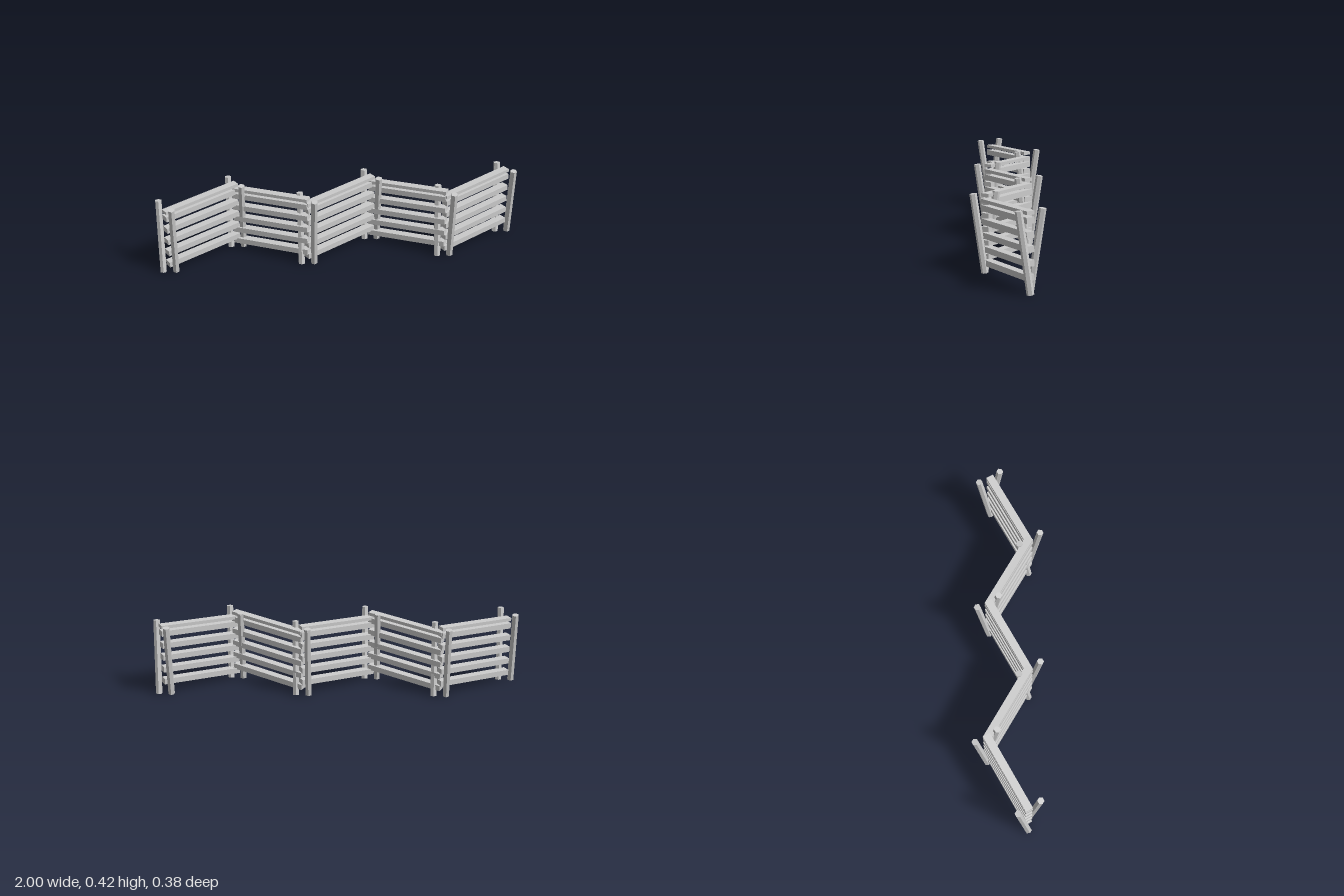
import * as THREE from 'three';

const deg = THREE.MathUtils.degToRad;

export function createModel() {
  const group = new THREE.Group();
  group.name = 'zigzagFence';
  const wood = new THREE.MeshStandardMaterial({ color: 0xcccccc, flatShading: true });
  wood.name = 'weathered grey wood';

  const spacing = 0.3796;   // distance between joints along x
  const lean = deg(8);      // lean of the posts
  const postLength = 0.418;

  // Hexagonal posts: at every joint a crossed pair, left leaning back, right leaning forward
  const postGeo = new THREE.CylinderGeometry(0.019, 0.019, postLength, 6);
  for (let i = 0; i < 6; i++) {
    const x = (i - 2.5) * spacing;
    const footZ = (i % 2 ? -1 : 1) * 0.1135;
    for (const side of [-1, 1]) {
      const post = new THREE.Mesh(postGeo, wood);
      post.name = side < 0 ? 'backLeaningPost' : 'frontLeaningPost';
      post.position.set(x + side * 0.0345, 0.2095, footZ + side * Math.sin(lean) * postLength / 2);
      post.rotation.x = side * lean;
      group.add(post);
    }
  }

  // Panels: five sloping rails and a thinner top rail, turned alternately
  const railGeo = new THREE.BoxGeometry(0.455, 0.031, 0.043);
  const topRailGeo = new THREE.BoxGeometry(0.455, 0.018, 0.043);
  const heights = [0.066, 0.137, 0.208, 0.279, 0.35, 0.388];
  for (let i = 0; i < 5; i++) {
    const panel = new THREE.Group();
    panel.name = 'railPanel';
    panel.position.x = (i - 2) * spacing;
    panel.rotation.y = (i % 2 ? -1 : 1) * deg(30);
    heights.forEach((y, k) => {
      const rail = new THREE.Mesh(k === 5 ? topRailGeo : railGeo, wood);
      rail.name = k === 5 ? 'topRail' : 'rail';
      rail.position.y = y;
      rail.rotation.z = deg(3.5);
      panel.add(rail);
    });
    group.add(panel);
  }
  return group;
}
